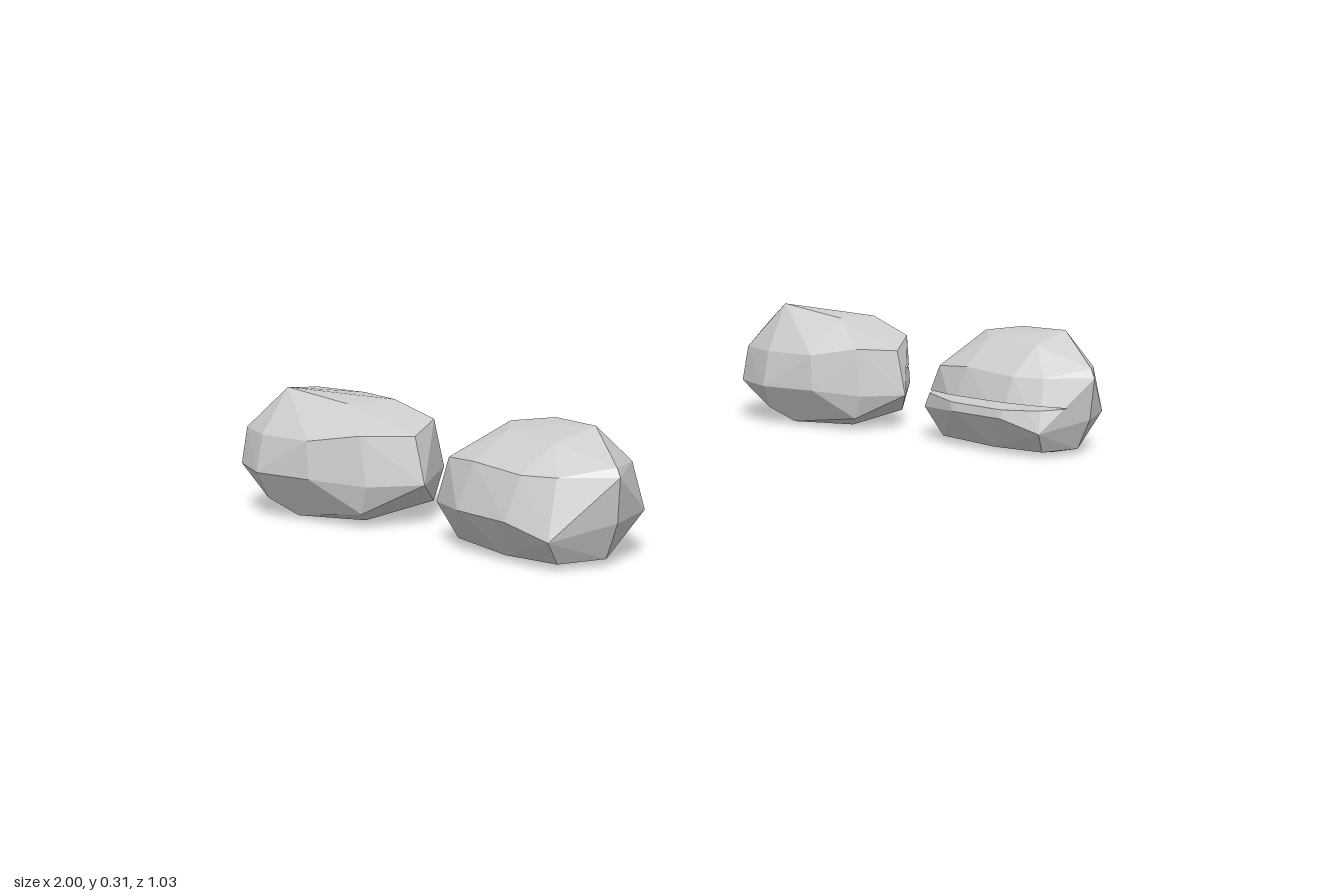
import * as THREE from 'three';
import { ConvexGeometry } from 'three/addons/geometries/ConvexGeometry.js';

const V = (x, y, z) => new THREE.Vector3(x, y, z);
const SPACING = -1.565; // offset from the left pair to the right pair

// Corner points of the two boulder shapes (crown, shoulder, belly, base)
const REAR = [
  [.655, .317, -.36], [.78, .29, -.42], [.82, .285, -.31], [.80, .288, -.18], [.69, .29, -.2],
  [.70, .255, -.46], [.83, .245, -.45], [.89, .2, -.36], [.90, .19, -.22], [.84, .24, -.1],
  [.765, .21, -.07], [.66, .22, -.12], [.6, .2, -.22], [.58, .2, -.35], [.61, .2, -.45],
  [.717, .11, -.52], [.845, .12, -.49], [.914, .12, -.35], [.93, .12, -.22], [.88, .11, -.12],
  [.765, .097, -.042], [.658, .1, -.1], [.594, .11, -.21], [.562, .11, -.35], [.6, .11, -.46],
  [.72, .04, -.478], [.85, .04, -.44], [.8, .013, -.39], [.73, .008, -.28], [.63, .015, -.3],
  [.596, .05, -.36], [.66, .04, -.12], [.85, .04, -.12], [.89, .05, -.25], [.82, .02, -.2], [.7, .015, -.16],
];
const FRONT = [
  [.85, .3, .39], [.88, .293, .24], [.82, .283, .17], [.76, .27, .37], [.77, .275, .22],
  [.797, .2, .515], [.8, .222, .503], [.9, .21, .44], [.96, .24, .25], [.95, .2, .35], [.9, .24, .13],
  [.8, .22, .105], [.7, .2, .12], [.68, .21, .22], [.68, .2, .36], [.71, .2, .43],
  [.845, .075, .053], [.957, .1, .11], [.995, .144, .225], [.975, .06, .27], [.957, .11, .36],
  [.914, .1, .46], [.8, .097, .503], [.674, .07, .444], [.647, .1, .35], [.652, .1, .2], [.706, .09, .07],
  [.8, .022, .47], [.71, .02, .43], [.79, .008, .41], [.86, .01, .19], [.76, .01, .2],
  [.9, .027, .3], [.92, .03, .16], [.84, .022, .1], [.72, .02, .12], [.69, .02, .3],
];

// Keeps the part of a convex body on the positive side of a plane
function clip(geometry, plane) {
  const p = geometry.attributes.position;
  const found = new Map();
  const add = (v) => found.set(v.toArray().map((n) => n.toFixed(5)).join(), v);
  for (let i = 0; i < p.count; i++) {
    const j = i % 3 === 2 ? i - 2 : i + 1;
    const a = V().fromBufferAttribute(p, i), b = V().fromBufferAttribute(p, j);
    const da = plane.distanceToPoint(a), db = plane.distanceToPoint(b);
    if (da >= 0) add(a);
    if (da * db < 0) add(a.clone().lerp(b, da / (da - db)));
  }
  return new ConvexGeometry([...found.values()]);
}

export function createModel() {
  const model = new THREE.Group();
  model.name = 'boulders';
  const stone = new THREE.MeshStandardMaterial({ color: 0xcccccc, flatShading: true });

  const addMesh = (parent, name, geometry) => {
    const mesh = new THREE.Mesh(geometry, stone);
    mesh.name = name;
    parent.add(mesh);
  };

  // crack: height, x where the wedge closes, and slope (its sign picks the open side)
  const kinds = [
    { name: 'rearBoulder', points: REAR, crack: [.155, .83, .1] },
    { name: 'frontBoulder', points: FRONT, crack: [.13, .74, -.1] },
  ];

  for (const { name, points, crack: [height, x0, slope] } of kinds) {
    // Cracked boulder: two halves parted by a thin wedge on one side
    const whole = new ConvexGeometry(points.map((p) => V(...p)));
    const cracked = new THREE.Group();
    cracked.name = name + 'Cracked';
    const pivot = V(x0, height, 0);
    const plane = (n) => new THREE.Plane().setFromNormalAndCoplanarPoint(n.normalize(), pivot);
    addMesh(cracked, 'upperHalf', clip(whole, plane(V(-slope, 1, 0))));
    addMesh(cracked, 'lowerHalf', clip(whole, plane(V(-slope, -1, 0))));
    model.add(cracked);

    // Solid boulder: same shape with a slightly lower crown
    const solid = points.map(([x, y, z]) => V(x + SPACING, y - .22 * Math.max(0, y - .15), z));
    addMesh(model, name + 'Solid', new ConvexGeometry(solid));
  }
  return model;
}
